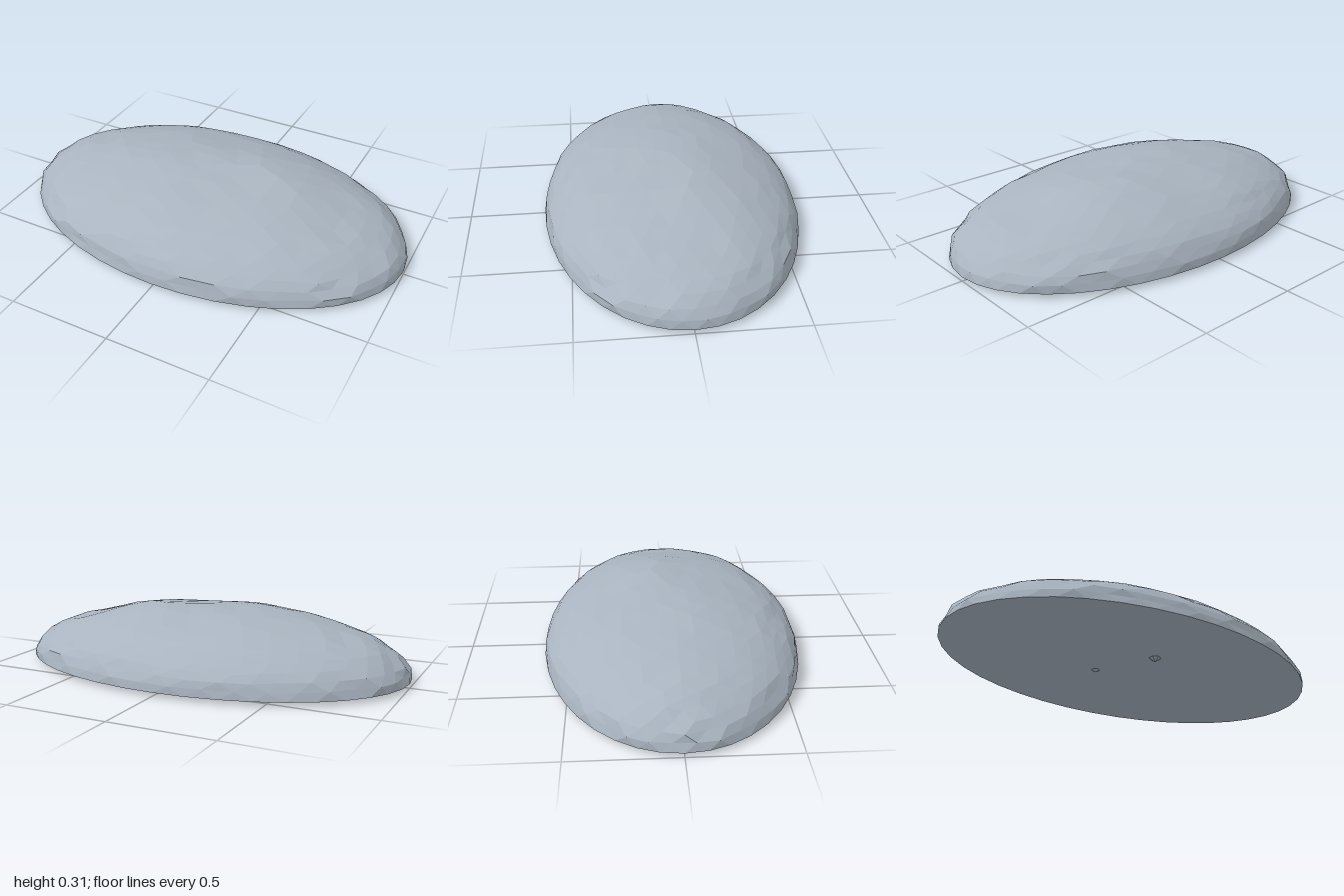
import * as THREE from 'three';

const BASE_Y = 0.02, RX = 1, RY = 0.285, RZ = 0.63;

// repeatable value in -1..1 for a point, so shared corners move together
function jitter(x, y, z) {
  const r = (v) => Math.round(v * 1000) / 1000 + 0;
  const s = Math.sin(r(x) * 127.1 + r(y) * 311.7 + r(z) * 74.7) * 43758.5453;
  return (s - Math.floor(s)) * 2 - 1;
}

// broad humps and dips: x, z, radius, height
const humps = [
  [0.3, -0.12, 0.26, 0.02],
  [0.66, 0.0, 0.2, -0.025],
  [-0.86, 0.0, 0.16, 0.014],
  [0.0, -0.46, 0.18, -0.012],
  [0.2, 0.2, 0.2, -0.012],
  [-0.3, 0.1, 0.25, 0.006],
];

// faceted squashed half sphere, flat at the rim
function domeGeometry() {
  const ball = new THREE.IcosahedronGeometry(1, 7);
  ball.rotateZ(Math.atan(2 / (1 + Math.sqrt(5))));
  const p = ball.attributes.position;
  const out = [];
  for (let i = 0; i < p.count; i += 3) {
    if (p.getY(i) + p.getY(i + 1) + p.getY(i + 2) < 0.01) continue;
    for (let k = i; k < i + 3; k++) {
      const x = p.getX(k), y = Math.max(0, p.getY(k)), z = p.getZ(k);
      if (y < 0.001) {
        out.push(x * RX, BASE_Y, z * RZ);
        continue;
      }
      const swell = 1 + 0.012 * jitter(z, x, y);
      const px = x * RX * swell, pz = z * RZ * swell;
      let py = y * RY + 0.005 * y * jitter(x, y, z);
      for (const [hx, hz, r, h] of humps) {
        py += h * y * Math.exp(-((px - hx) ** 2 + (pz - hz) ** 2) / (r * r));
      }
      out.push(px, BASE_Y + py, pz);
    }
  }
  const g = new THREE.BufferGeometry();
  g.setAttribute('position', new THREE.Float32BufferAttribute(out, 3));
  g.computeVertexNormals();
  return g;
}

export function createModel() {
  const model = new THREE.Group();
  model.name = 'flatStone';
  const stone = new THREE.MeshStandardMaterial({ name: 'blueGreyStone', color: 0xa9b4c0, flatShading: true });

  const add = (name, geometry) => {
    const mesh = new THREE.Mesh(geometry, stone);
    mesh.name = name;
    model.add(mesh);
    return mesh;
  };

  add('dome', domeGeometry());

  // flat underside
  const underside = new THREE.CircleGeometry(1, 40);
  underside.rotateX(Math.PI / 2);
  underside.scale(RX, 1, RZ);
  add('underside', underside).position.y = BASE_Y;

  // two small points poking out below
  for (const [name, x, z, radius, depth] of [
    ['largePoint', 0, 0.185, 0.03, 0.02],
    ['smallPoint', -0.155, -0.1, 0.02, 0.012],
  ]) {
    const cone = new THREE.ConeGeometry(radius, depth, 6, 1, true);
    cone.rotateX(Math.PI);
    add(name, cone).position.set(x, BASE_Y - depth / 2, z);
  }
  return model;
}
